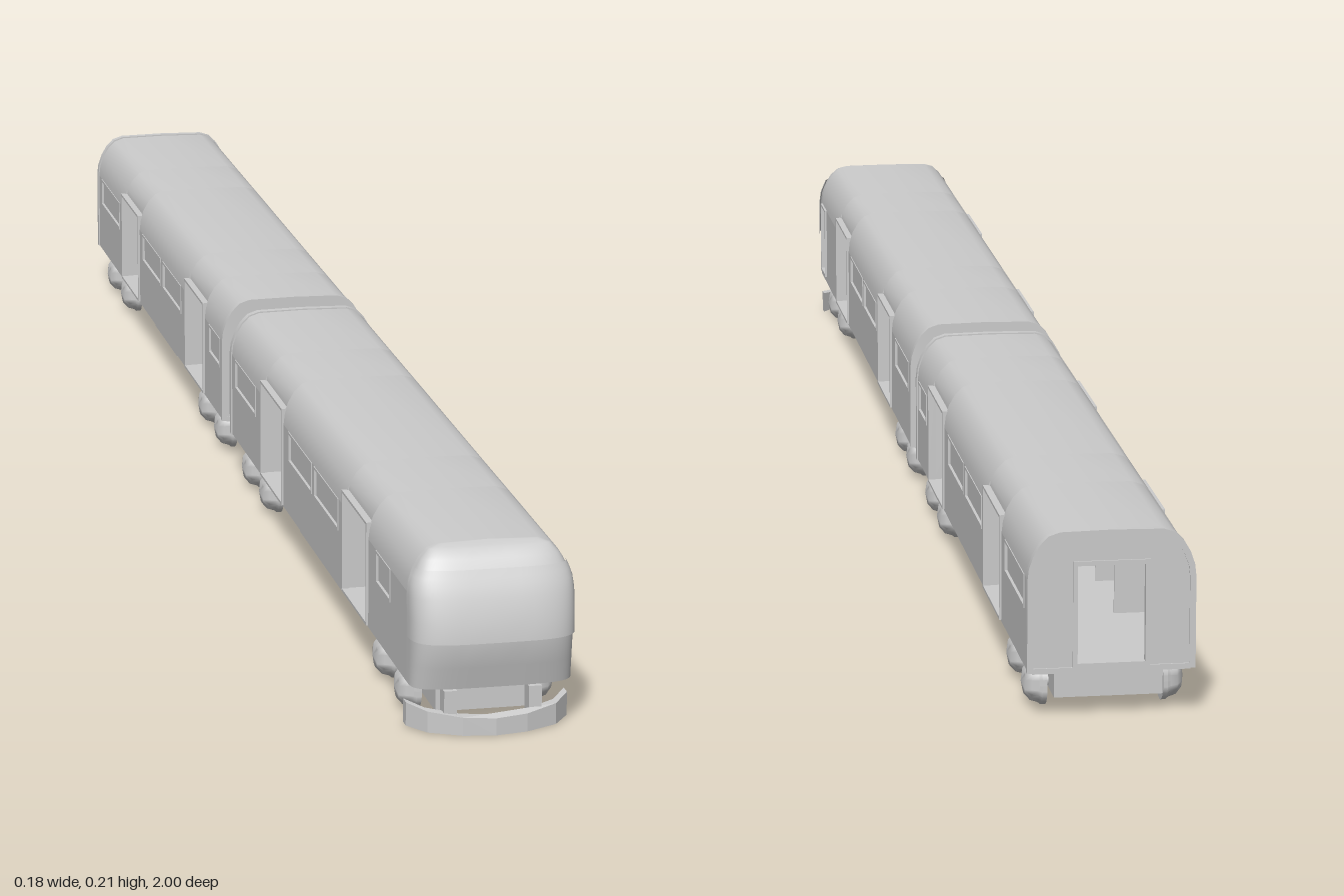
import * as THREE from 'three';
import { toCreasedNormals } from 'three/addons/utils/BufferGeometryUtils.js';

const mat = new THREE.MeshStandardMaterial({ color: 0xcccccc });
const thinMat = new THREE.MeshStandardMaterial({ color: 0xcccccc, side: THREE.DoubleSide });

const W = 0.088, FLOOR = 0.055, EAVE = 0.155, NOSE = 0.945;
// right half of the roof section, eave to crown
const ROOF = [[W, EAVE], [0.0865, 0.168], [0.082, 0.181], [0.075, 0.193], [0.066, 0.202], [0.054, 0.206], [0, 0.207]];
const DOOR_Y = [0.06, 0.171], WIN_Y = [0.121, 0.156];

function add(parent, name, geo, material = mat) {
  const m = new THREE.Mesh(geo, material);
  m.name = name;
  parent.add(m);
  return m;
}
function box(parent, name, x0, x1, y0, y1, z0, z1) {
  const g = new THREE.BoxGeometry(x1 - x0, y1 - y0, z1 - z0);
  g.translate((x0 + x1) / 2, (y0 + y1) / 2, (z0 + z1) / 2);
  return add(parent, name, g);
}
function rect(Type, a0, a1, b0, b1) {
  return new Type([[a0, b0], [a1, b0], [a1, b1], [a0, b1]].map(p => new THREE.Vector2(...p)));
}
const extrude = (shape, depth) => new THREE.ExtrudeGeometry(shape, { depth, bevelEnabled: false });

// arch-shaped section points, grown outward by g, with feet at height y0
function archPoints(g, y0) {
  const half = ROOF.map(([x, y]) => [x * (1 + g / W), y + g * (y - EAVE) / 0.052]);
  const left = half.slice(0, -1).map(([x, y]) => [-x, y]).reverse();
  return [[half[0][0], y0], ...half, ...left, [-half[0][0], y0]].map(p => new THREE.Vector2(...p));
}
function archRing(outer, inner, y0, z0, z1) {
  const shape = new THREE.Shape([...archPoints(outer, y0), ...archPoints(inner, y0).reverse()]);
  return toCreasedNormals(extrude(shape, z1 - z0), 0.6).translate(0, 0, z0);
}
// (z, y) shape turned into a plate spanning x0 .. x0 + t
function sidePlate(shape, x0, t) {
  return extrude(shape, t).rotateY(-Math.PI / 2).translate(x0 + t, 0, 0);
}

// one side wall: doors cut through, windows recessed, door frames proud
function sideWall(parent, side, z0, z1, doors, windows, cabDoor) {
  const shape = rect(THREE.Shape, z0, z1, FLOOR, 0.18);
  const outer = (a, t) => side > 0 ? a : -a - t;
  const trim = (name, hole, inset, a, t) => {
    const s = rect(THREE.Shape, hole[0] - inset, hole[1] + inset, hole[2] - inset, hole[3] + inset);
    s.holes.push(rect(THREE.Path, ...hole));
    add(parent, name, sidePlate(s, outer(a, t), t));
  };
  const lower = rect(THREE.Shape, z0, z1, FLOOR, EAVE);
  const openings = doors.map(d => [...d, ...DOOR_Y]);
  if (cabDoor) openings.push([0.892, 0.937, 0.066, 0.153]);
  // wall outline is notched upward where door openings pass the eave
  const outline = [[z0, FLOOR], [z1, FLOOR], [z1, EAVE]];
  [...doors].sort((a, b) => b[1] - a[1]).forEach(([a, b]) =>
    outline.push([b, EAVE], [b, DOOR_Y[0]], [a, DOOR_Y[0]], [a, EAVE]));
  outline.push([z0, EAVE]);
  const wall = new THREE.Shape(outline.map(p => new THREE.Vector2(...p)));
  if (cabDoor) wall.holes.push(rect(THREE.Path, ...openings.at(-1)));
  windows.forEach(([a, b]) => {
    wall.holes.push(rect(THREE.Path, a, b, WIN_Y[0], WIN_Y[1] - 0.004));
    add(parent, 'windowPane', sidePlate(rect(THREE.Shape, a, b, WIN_Y[0], WIN_Y[1] - 0.004), outer(W - 0.0035, 0.0015), 0.0015));
    trim('windowFrame', [a, b, WIN_Y[0], WIN_Y[1] - 0.004], 0.003, W - 0.002, 0.003);
  });
  add(parent, 'sideWall', sidePlate(wall, outer(W - 0.004, 0.004), 0.004));
  openings.forEach(o => trim('doorFrame', o, 0.003, W - 0.006, 0.0085));
}

// roof in stretches: the eave is cut back above each door
function roof(parent, z0, z1, doors) {
  const cuts = [z0, ...[...doors].sort((a, b) => a[0] - b[0]).flat(), z1];
  for (let i = 0; i < cuts.length - 1; i++) {
    const y0 = i % 2 ? DOOR_Y[1] : EAVE;
    const clip = g => {
      const pts = archPoints(g, y0).slice(1, -1).filter(p => p.y >= y0 - 1e-6);
      if (!(i % 2)) return pts;
      const x = pts[0].x + 0.001;
      return [new THREE.Vector2(x, y0), ...pts, new THREE.Vector2(-x, y0)];
    };
    const shape = new THREE.Shape([...clip(0), ...clip(-0.004).reverse()]);
    add(parent, 'roof', toCreasedNormals(extrude(shape, cuts[i + 1] - cuts[i]), 0.6).translate(0, 0, cuts[i]));
  }
}

// end wall with a gangway doorway
function endWall(parent, z0, z1) {
  const s = new THREE.Shape(archPoints(-0.001, FLOOR));
  s.holes.push(rect(THREE.Path, -0.036, 0.036, 0.064, 0.17));
  add(parent, 'endWall', extrude(s, z1 - z0).translate(0, 0, z0));
}
function doorSurround(parent, z0, z1) {
  const s = rect(THREE.Shape, -0.041, 0.041, 0.06, 0.175);
  s.holes.push(rect(THREE.Path, -0.036, 0.036, 0.064, 0.17));
  add(parent, 'endDoorFrame', extrude(s, z1 - z0).translate(0, 0, z0));
}

// wheel pair with axle
const wheelProfile = [[0, 0], [0.026, 0], [0.026, 0.005], [0.0235, 0.008], [0.021, 0.016], [0.014, 0.022], [0, 0.025]]
  .map(p => new THREE.Vector2(...p));
const wheelGeo = toCreasedNormals(new THREE.LatheGeometry(wheelProfile, 24), 0.7).rotateZ(-Math.PI / 2);
function bogie(parent, z0, z1, axles) {
  const g = new THREE.Group();
  g.name = 'bogie';
  parent.add(g);
  box(g, 'bogieFrame', -0.058, 0.058, 0.022, FLOOR, z0, z1);
  for (const z of axles) {
    for (const s of [1, -1]) {
      const w = add(g, 'wheel', wheelGeo);
      w.position.set(s * 0.062, 0.029, z);
      w.rotation.y = s > 0 ? 0 : Math.PI;
    }
    add(g, 'axle', new THREE.CylinderGeometry(0.006, 0.006, 0.13, 12).rotateZ(Math.PI / 2).translate(0, 0.029, z));
  }
}

// rounded nose: each height is a squarish half-ellipse in plan
function lerpTable(t, y) {
  let i = 0;
  while (i < t.length - 2 && y > t[i + 1][0]) i++;
  return THREE.MathUtils.lerp(t[i][1], t[i + 1][1], THREE.MathUtils.clamp((y - t[i][0]) / (t[i + 1][0] - t[i][0]), 0, 1));
}
const NOSE_W = [[FLOOR, W], ...ROOF.map(([x, y]) => [y, x])];
const NOSE_Z = [[FLOOR, 0.983], [0.108, 0.998], [0.13, 0.996], [0.16, 0.987], [0.185, 0.975], [0.198, 0.965], [0.204, 0.956], [0.207, NOSE]];
function noseSurface(ys, reach, grow) {
  const N = 32, pos = [], idx = [];
  ys.forEach((y, j) => {
    for (let i = 0; i <= N; i++) {
      const t = (i / N * 2 - 1) * reach * Math.PI / 2;
      const s = Math.sin(t), c = Math.max(0, Math.cos(t));
      pos.push((lerpTable(NOSE_W, y) + grow) * Math.sign(s) * Math.sqrt(Math.abs(s)), y,
        NOSE + (lerpTable(NOSE_Z, y) - NOSE + grow) * Math.sqrt(c));
      if (j && i) {
        const b = j * (N + 1) + i, a = b - N - 1;
        idx.push(a - 1, a, b, a - 1, b, b - 1);
      }
    }
  });
  const g = new THREE.BufferGeometry();
  g.setAttribute('position', new THREE.Float32BufferAttribute(pos, 3));
  g.setIndex(idx);
  g.computeVertexNormals();
  return g;
}
function cab(parent) {
  const ys = [FLOOR, 0.08, 0.108, 0.13, 0.155, 0.168, 0.176, 0.185, 0.193, 0.198, 0.202, 0.204, 0.206, 0.207];
  add(parent, 'nose', noseSurface(ys, 1, 0), thinMat);
  add(parent, 'windscreen', noseSurface([0.109, 0.13, 0.155, 0.168, 0.176, 0.184], 0.97, 0.002), thinMat);
  box(parent, 'noseFloor', -0.078, 0.078, FLOOR, 0.058, NOSE, 0.972);
  // swept snow plough with struts
  const plan = [[0.088, 0.945], [0.07, 0.97], [0.035, 0.985], [0, 0.99]];
  const front = [...plan, ...plan.slice(0, -1).reverse().map(([x, z]) => [-x, z])];
  const s = new THREE.Shape([...front, ...front.map(([x, z]) => [x, z - 0.014]).reverse()].map(([x, z]) => new THREE.Vector2(x, -z)));
  const g = extrude(s, 0.019).rotateX(-Math.PI / 2).translate(0, 0.003, 0);
  const p = g.attributes.position;
  for (let i = 0; i < p.count; i++) {
    const k = (p.getX(i) / W) ** 2;
    p.setY(i, p.getY(i) + k * (p.getY(i) > 0.01 ? 0.009 : 0.002));
  }
  g.computeVertexNormals();
  add(parent, 'plough', g);
  for (const x of [-0.046, 0.046]) box(parent, 'ploughStrut', x - 0.007, x + 0.007, 0.016, 0.05, 0.955, 0.974);
}

function car(parent, name, c) {
  const g = new THREE.Group();
  g.name = name;
  parent.add(g);
  for (const side of [1, -1]) {
    const left = side > 0 && c.cab;
    sideWall(g, side, c.z0, c.z1, c.doors, left ? c.windows.slice(1) : c.windows, left);
  }
  roof(g, c.z0, c.z1, c.doors);
  box(g, 'floor', -0.084, 0.084, FLOOR - 0.001, 0.06, c.z0, c.z1);
  endWall(g, c.z0 + 0.002, c.z0 + 0.007);
  doorSurround(g, c.z0, c.z0 + 0.008);
  add(g, 'endRim', archRing(0.0015, -0.005, FLOOR, c.z0, c.z0 + 0.009));
  if (c.cab) cab(g);
  else {
    endWall(g, c.z1 - 0.007, c.z1 - 0.002);
    add(g, 'endRim', archRing(0.0015, -0.005, FLOOR, c.z1 - 0.009, c.z1));
  }
  // vestibule screens beside the doors, leaving an aisle
  for (const d of c.doors) for (const z of [d[0] - 0.005, d[1] + 0.002])
    for (const s of [1, -1]) box(g, 'screen', s > 0 ? 0.035 : -0.083, s > 0 ? 0.083 : -0.035, 0.06, 0.165, z, z + 0.003);
  for (const [z0, z1, y] of c.gear) box(g, 'underfloorBox', -0.07, 0.07, y, FLOOR, z0, z1);
  for (const b of c.bogies) bogie(g, ...b);
}

export function createModel() {
  const train = new THREE.Group();
  train.name = 'train';
  car(train, 'frontCar', {
    z0: -0.033, z1: NOSE, cab: true,
    doors: [[0.631, 0.754], [0.166, 0.289]],
    windows: [[0.8, 0.865], [0.47, 0.597], [0.325, 0.452], [0.0, 0.122]],
    gear: [[0.56, 0.69, 0.045], [0.3, 0.53, 0.026], [0.21, 0.278, 0.037]],
    bogies: [[0.73, 0.955, [0.882, 0.775]], [-0.02, 0.18, [0.139, 0.032]]],
  });
  car(train, 'rearCar', {
    z0: -1, z1: -0.083, cab: false,
    doors: [[-0.33, -0.207], [-0.797, -0.674]],
    windows: [[-0.172, -0.105], [-0.495, -0.37], [-0.645, -0.515], [-0.965, -0.83]],
    gear: [[-0.47, -0.342, 0.045], [-0.658, -0.497, 0.026], [-0.754, -0.684, 0.037]],
    bogies: [[-0.31, -0.096, [-0.15, -0.257]], [-0.98, -0.8, [-0.829, -0.936]]],
  });
  box(train, 'gangway', -0.038, 0.038, 0.058, 0.187, -0.088, -0.028);
  return train;
}
